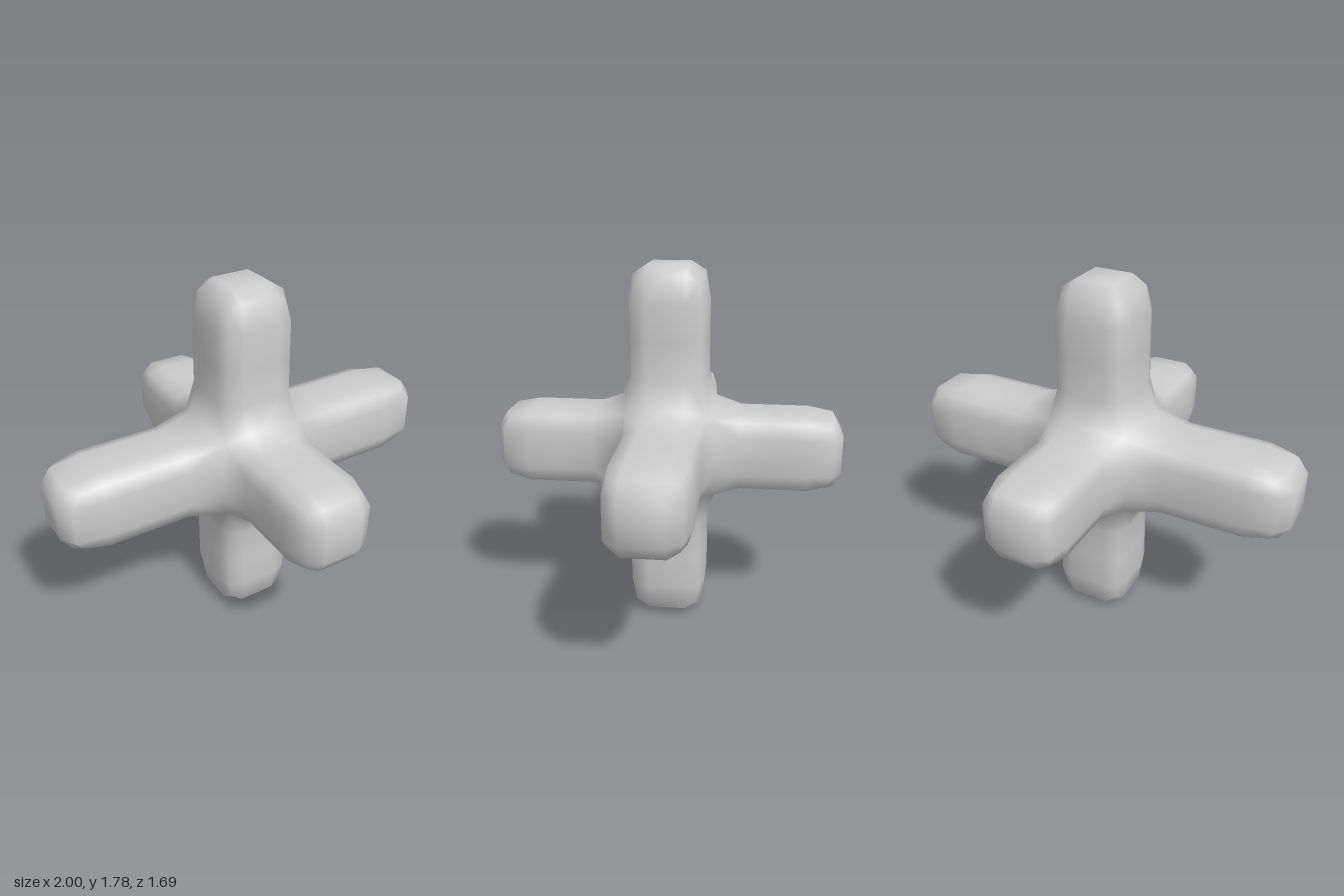
import * as THREE from 'three';

const REACH = [1, 0.89, 0.843]; // arm lengths along x, y, z
const HALF = 0.188;             // half thickness of an arm
const CENTRE_Y = 0.893;

// Quad cage: six square arms growing out of a cube
function crossCage() {
  const points = [], faces = [], index = new Map();
  const add = (p) => {
    const key = p.join();
    if (!index.has(key)) {
      index.set(key, points.length);
      points.push(new THREE.Vector3(...p));
    }
    return index.get(key);
  };
  const corners = [[-1, -1], [1, -1], [1, 1], [-1, 1]];
  for (let axis = 0; axis < 3; axis++) {
    for (const dir of [1, -1]) {
      const ring = (distance) => corners.map(([u, v]) => {
        const p = [0, 0, 0];
        p[axis] = dir * distance;
        p[(axis + 1) % 3] = u * HALF;
        p[(axis + 2) % 3] = v * HALF;
        return add(p);
      });
      const inner = ring(HALF), outer = ring(REACH[axis]);
      const quads = [outer];
      for (let j = 0; j < 4; j++) {
        const k = (j + 1) % 4;
        quads.push([inner[j], inner[k], outer[k], outer[j]]);
      }
      faces.push(...quads.map((q) => (dir > 0 ? q : [...q].reverse())));
    }
  }
  return { points, faces };
}

const mean = (list) => list.reduce((s, p) => s.add(p), new THREE.Vector3()).divideScalar(list.length);

// Split every quad in four; with smooth set, apply the Catmull-Clark rule
function subdivide({ points, faces }, smooth) {
  const edges = new Map();
  const around = points.map(() => ({ centres: [], mids: [] }));
  const centres = faces.map((f) => mean(f.map((i) => points[i])));
  const edgeKey = (a, b) => (a < b ? `${a}_${b}` : `${b}_${a}`);

  faces.forEach((f, n) => f.forEach((a, j) => {
    const b = f[(j + 1) % 4], key = edgeKey(a, b);
    around[a].centres.push(centres[n]);
    if (!edges.has(key)) {
      const mid = mean([points[a], points[b]]);
      edges.set(key, { mid, sides: [] });
      around[a].mids.push(mid);
      around[b].mids.push(mid);
    }
    edges.get(key).sides.push(centres[n]);
  }));

  const out = points.map((p, i) => {
    if (!smooth) return p.clone();
    const n = around[i].mids.length;
    return mean(around[i].centres)
      .addScaledVector(mean(around[i].mids), 2)
      .addScaledVector(p, n - 3)
      .divideScalar(n);
  });
  const firstCentre = out.length;
  out.push(...centres);
  for (const e of edges.values()) {
    e.id = out.length;
    out.push(smooth ? mean([e.mid, e.mid, ...e.sides]) : e.mid);
  }
  const quads = faces.flatMap((f, n) => f.map((a, j) => [
    a,
    edges.get(edgeKey(a, f[(j + 1) % 4])).id,
    firstCentre + n,
    edges.get(edgeKey(a, f[(j + 3) % 4])).id,
  ]));
  return { points: out, faces: quads };
}

export function createModel() {
  const group = new THREE.Group();
  group.name = 'sixArmedCross';

  // One flat split keeps the arms square, one smooth split rounds the edges
  const { points, faces } = subdivide(subdivide(crossCage(), false), true);
  const geometry = new THREE.BufferGeometry().setFromPoints(points);
  geometry.setIndex(faces.flatMap(([a, b, c, d]) => [a, b, c, a, c, d]));
  geometry.computeVertexNormals();

  const cross = new THREE.Mesh(geometry, new THREE.MeshStandardMaterial({ color: 0xcccccc }));
  cross.name = 'roundedArms';
  cross.position.y = CENTRE_Y;
  group.add(cross);
  // Stand the lowest arm exactly on the ground
  cross.position.y = -new THREE.Box3().setFromBufferAttribute(geometry.attributes.position).min.y;
  return group;
}
